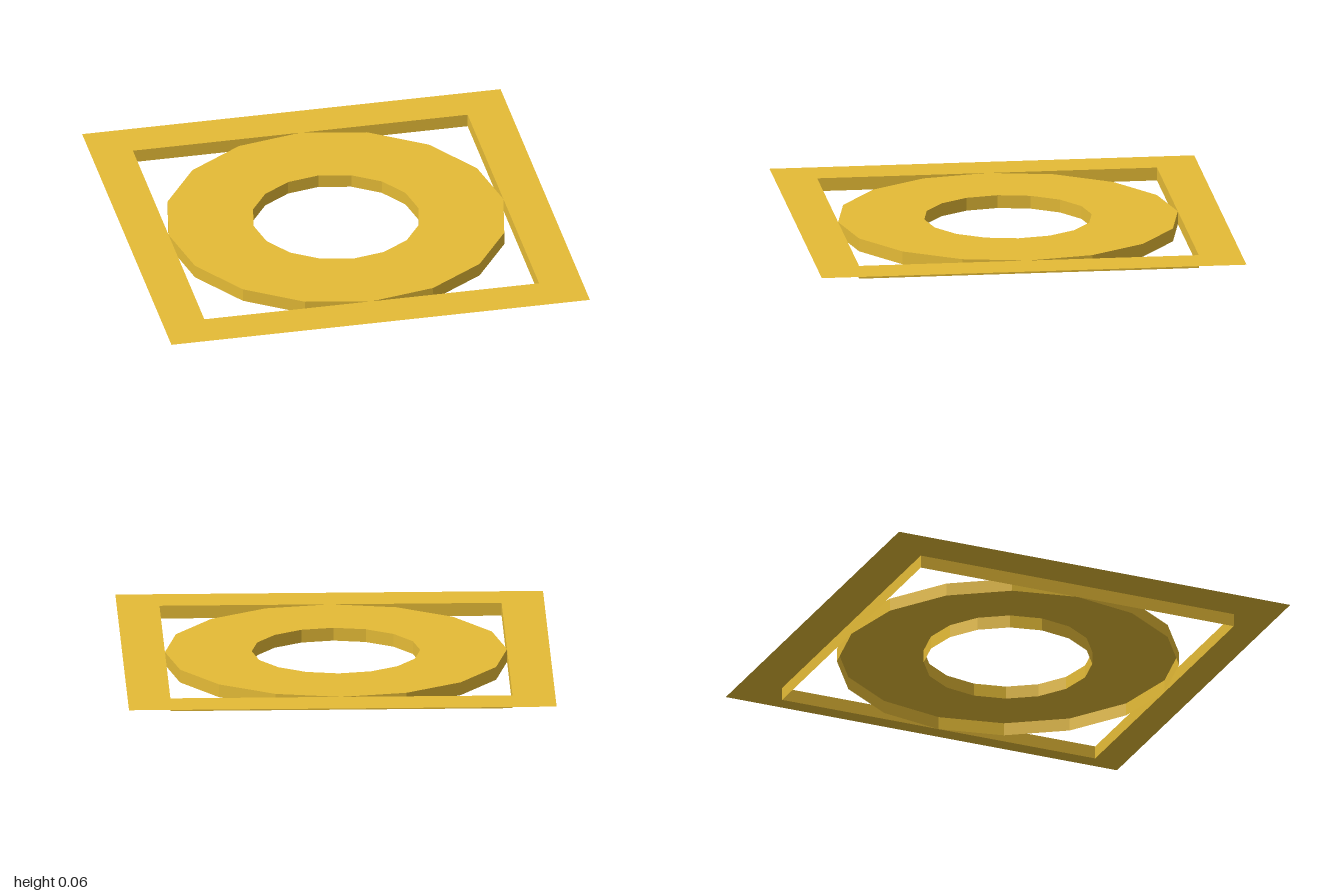
import * as THREE from 'three';

const HEIGHT = 0.062;   // height of the walls
const INNER = 0.8;      // half width of the frame opening, and ring radius
const HOLE = 0.394;     // radius of the hole in the ring
const SIDES = 16;

// Regular polygon points
function polygon(radius, sides, start = 0) {
  return Array.from({ length: sides }, (_, i) => {
    const a = start + (i / sides) * Math.PI * 2;
    return new THREE.Vector2(Math.cos(a) * radius, Math.sin(a) * radius);
  });
}

// Flat sheet with a hole, lying at the top of the walls
function sheet(outer, inner) {
  const shape = new THREE.Shape(outer);
  shape.holes.push(new THREE.Path(inner));
  return new THREE.ShapeGeometry(shape).rotateX(-Math.PI / 2).translate(0, HEIGHT, 0);
}

// Thin faceted wall hanging from the sheet to the ground
function wall(radius, sides, start = 0) {
  return new THREE.CylinderGeometry(radius, radius, HEIGHT, sides, 1, true, start)
    .translate(0, HEIGHT / 2, 0);
}

export function createModel() {
  const gold = new THREE.MeshStandardMaterial({
    color: 0xe5bb36, flatShading: true, side: THREE.DoubleSide,
  });
  gold.name = 'gold';

  const model = new THREE.Group();
  model.name = 'ringInSquareFrame';
  const addGroup = (name, parts) => {
    const group = new THREE.Group();
    group.name = name;
    for (const [partName, geometry] of Object.entries(parts)) {
      const mesh = new THREE.Mesh(geometry, gold);
      mesh.name = partName;
      group.add(mesh);
    }
    model.add(group);
  };

  // Square frame: top sheet with walls around its opening only
  const corner = Math.PI / 4;
  addGroup('squareFrame', {
    frameTop: sheet(polygon(Math.SQRT2, 4, corner), polygon(INNER * Math.SQRT2, 4, corner)),
    frameInnerWall: wall(INNER * Math.SQRT2, 4, corner),
  });

  // Faceted ring, open underneath, touching the frame at four points
  addGroup('ring', {
    ringTop: sheet(polygon(INNER, SIDES), polygon(HOLE, SIDES)),
    ringOuterWall: wall(INNER, SIDES),
    ringInnerWall: wall(HOLE, SIDES),
  });

  return model;
}
